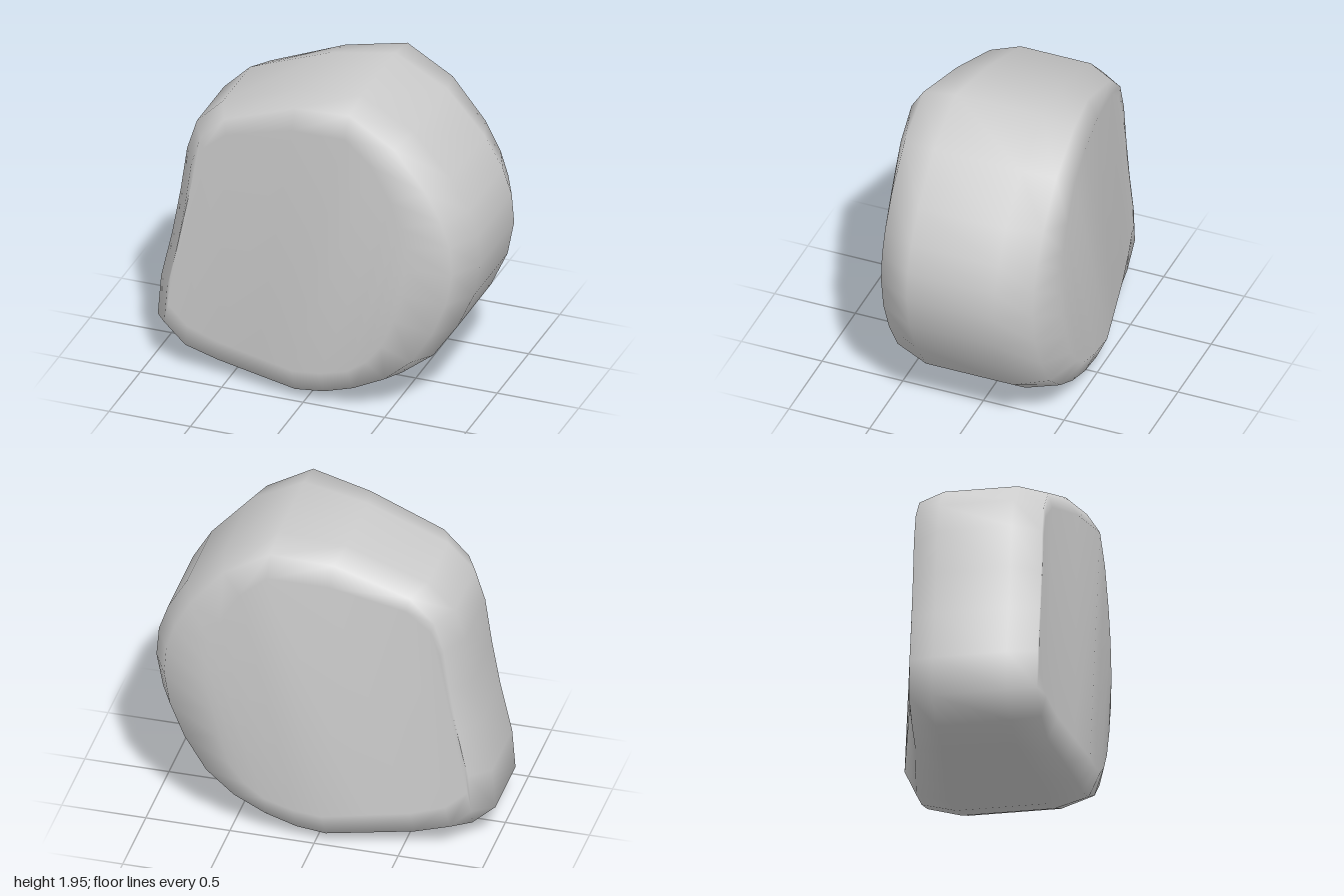
import * as THREE from 'three';

// Outline of the stone, counter-clockwise as seen from the front
const OUTLINE = [
  [0.27, 1.945], [-0.12, 1.89], [-0.6, 1.71], [-0.76, 1.55], [-0.82, 1.36], [-0.86, 1.08],
  [-0.91, 0.8], [-0.98, 0.49], [-1, 0.24], [-0.86, 0.11], [-0.64, 0.05], [-0.35, 0.025],
  [-0.09, 0], [0.1, 0.02], [0.3, 0.08], [0.52, 0.18], [0.71, 0.33], [0.86, 0.55],
  [0.96, 0.77], [1, 0.98], [0.985, 1.16], [0.93, 1.32], [0.82, 1.51], [0.59, 1.77],
];
const PEAK_X = OUTLINE[0][0];

// Half of the cross-sections, from the cap edge out to the rim;
// left and right scale the outline to either side of its peak
const HALF = [
  { z: 0.54, left: 0.9, right: 0.507, sy: 0.81, oy: 0.215 },
  { z: 0.47, left: 0.92, right: 0.863, sy: 0.951, oy: 0.06 },
  { z: 0.27, left: 1, right: 1, sy: 1, oy: 0 },
];

// Beyond a leaning fold line each cap slopes inwards, then levels out near -x
function depthAt(z, x, y, slope) {
  const d = THREE.MathUtils.clamp(-0.1 + 0.205 * y - x, 0, 0.82);
  return Math.min(z * Math.max(1 - 0.37 * d, 1 - slope), 0.54 - slope * d);
}

function stoneGeometry() {
  const rings = [
    ...HALF.map((r) => ({ ...r, side: -1, slope: 0.215 })),
    ...HALF.map((r) => ({ ...r, side: 1, slope: 0.185 })).reverse(),
  ];
  const n = OUTLINE.length;
  const positions = [];
  const index = [];

  for (const r of rings) {
    for (const [px, py] of OUTLINE) {
      const x = PEAK_X + (px - PEAK_X) * (px < PEAK_X ? r.left : r.right);
      const y = py * r.sy + r.oy;
      positions.push(x, y, r.side * depthAt(r.z, x, y, r.slope));
    }
  }
  // Skin between neighbouring cross-sections
  for (let i = 0; i < rings.length - 1; i++) {
    for (let j = 0; j < n; j++) {
      const k = (j + 1) % n;
      const a = i * n + j, b = i * n + k;
      index.push(a, b, b + n, a, b + n, a + n);
    }
  }
  // Caps: upright strips joining the upper edge to the lower edge
  const front = (rings.length - 1) * n;
  const capTriangle = (a, b, c) => {
    if (a !== b && b !== c && c !== a) index.push(a, b, c, front + a, front + c, front + b);
  };
  for (let s = -6; s < 6; s++) {
    const top = (s + n) % n, nextTop = (s + 1 + n) % n;
    const low = 12 - s, nextLow = 11 - s;
    capTriangle(top, low, nextLow);
    capTriangle(top, nextLow, nextTop);
  }

  const geometry = new THREE.BufferGeometry();
  geometry.setAttribute('position', new THREE.Float32BufferAttribute(positions, 3));
  geometry.setIndex(index);
  geometry.computeVertexNormals();
  return geometry;
}

export function createModel() {
  const group = new THREE.Group();
  group.name = 'stone';
  const body = new THREE.Mesh(stoneGeometry(), new THREE.MeshStandardMaterial({ color: 0xcccccc }));
  body.name = 'stoneBody';
  group.add(body);
  return group;
}
